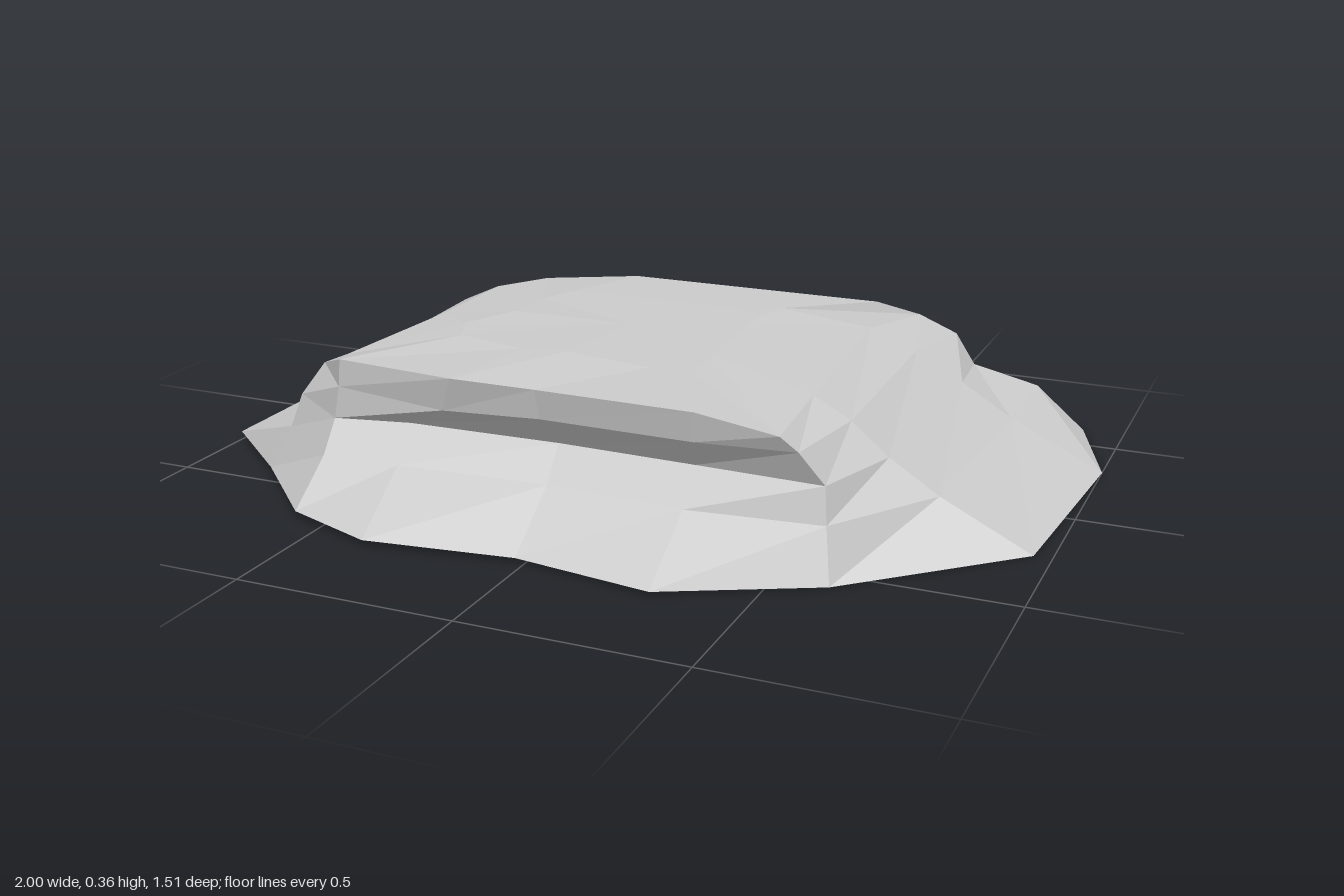
import * as THREE from 'three';

// Slope profiles: base-to-foot fraction and height, foot height, foot-to-rim fraction and height
const SIDE = [0.65, 0.12, 0.2, 0.5, 0.275];
const FRONT = [0.72, 0.12, 0.195, 0.8, 0.27]; // skirt, undercut crease, lip
const BACK = [0.03, 0.115, 0.125, 0.04, 0.21]; // step edge, step foot, wall top

// Columns around the rock: base x, z, foot x, z, rim x, y, z, profile blended with SIDE, blend weight
const COLUMNS = [
  [-1, -0.43, -0.75, -0.25, -0.52, 0.33, -0.18, SIDE, 0],
  [-0.68, -0.76, -0.68, -0.45, -0.46, 0.32, -0.34, BACK, 0.8],
  [-0.19, -0.65, -0.34, -0.45, -0.22, 0.34, -0.38, BACK, 1],
  [0.11, -0.65, 0, -0.52, 0.1, 0.34, -0.38, BACK, 1],
  [0.51, -0.71, 0.36, -0.5, 0.42, 0.34, -0.38, BACK, 1],
  [0.9, -0.61, 0.64, -0.5, 0.51, 0.3, -0.45, BACK, 0.35],
  [1, -0.32, 0.67, -0.26, 0.46, 0.325, -0.2, SIDE, 0],
  [0.96, 0.24, 0.66, 0.31, 0.5, 0.325, 0.34, SIDE, 0],
  [0.62, 0.57, 0.59, 0.52, 0.51, 0.31, 0.575, FRONT, 0.3],
  [0.3, 0.74, 0.3, 0.5, 0.33, 0.34, 0.585, FRONT, 1],
  [-0.02, 0.7, -0.02, 0.49, -0.03, 0.34, 0.58, FRONT, 1],
  [-0.36, 0.75, -0.38, 0.5, -0.21, 0.352, 0.615, FRONT, 1],
  [-0.58, 0.67, -0.55, 0.54, -0.53, 0.335, 0.54, FRONT, 0.7],
  [-0.79, 0.46, -0.71, 0.43, -0.61, 0.295, 0.38, SIDE, 0],
  [-1, 0.28, -0.73, 0.17, -0.5, 0.34, 0.12, SIDE, 0],
];

const lerp = THREE.MathUtils.lerp;

// One column of points, from the base up to the inner top ring
function columnPoints([bx, bz, fx, fz, rx, ry, rz, profile, weight]) {
  const [step, stepY, footY, wall, wallY] = SIDE.map((v, k) => lerp(v, profile[k], weight));
  return [
    [bx, 0.01 - 0.01 * bx, bz],
    [lerp(bx, fx, step), stepY, lerp(bz, fz, step)],
    [fx, footY, fz],
    [lerp(fx, rx, wall), wallY, lerp(fz, rz, wall)],
    [rx, ry, rz],
    [rx * 0.55 - 0.05, rx < 0 && rz > 0 ? 0.356 : 0.344, rz * 0.55 + 0.03],
  ];
}

function rockGeometry() {
  const columns = COLUMNS.map(columnPoints);
  const rings = columns[0].length;
  const n = columns.length;
  const top = [-0.05, 0.346, 0.06];
  const bottom = [0, 0.01, 0];
  const triangles = [];
  for (let i = 0; i < n; i++) {
    const a = columns[i];
    const b = columns[(i + 1) % n];
    for (let r = 0; r < rings - 1; r++) {
      triangles.push(b[r], a[r], a[r + 1], b[r], a[r + 1], b[r + 1]);
    }
    triangles.push(b[rings - 1], a[rings - 1], top); // flat top
    triangles.push(a[0], b[0], bottom); // underside
  }
  const geometry = new THREE.BufferGeometry();
  geometry.setAttribute('position', new THREE.Float32BufferAttribute(triangles.flat(), 3));
  geometry.computeVertexNormals();
  return geometry;
}

export function createModel() {
  const group = new THREE.Group();
  group.name = 'flatRock';
  const material = new THREE.MeshStandardMaterial({ color: 0xcccccc, flatShading: true });
  const rock = new THREE.Mesh(rockGeometry(), material);
  rock.name = 'rock';
  group.add(rock);
  return group;
}
